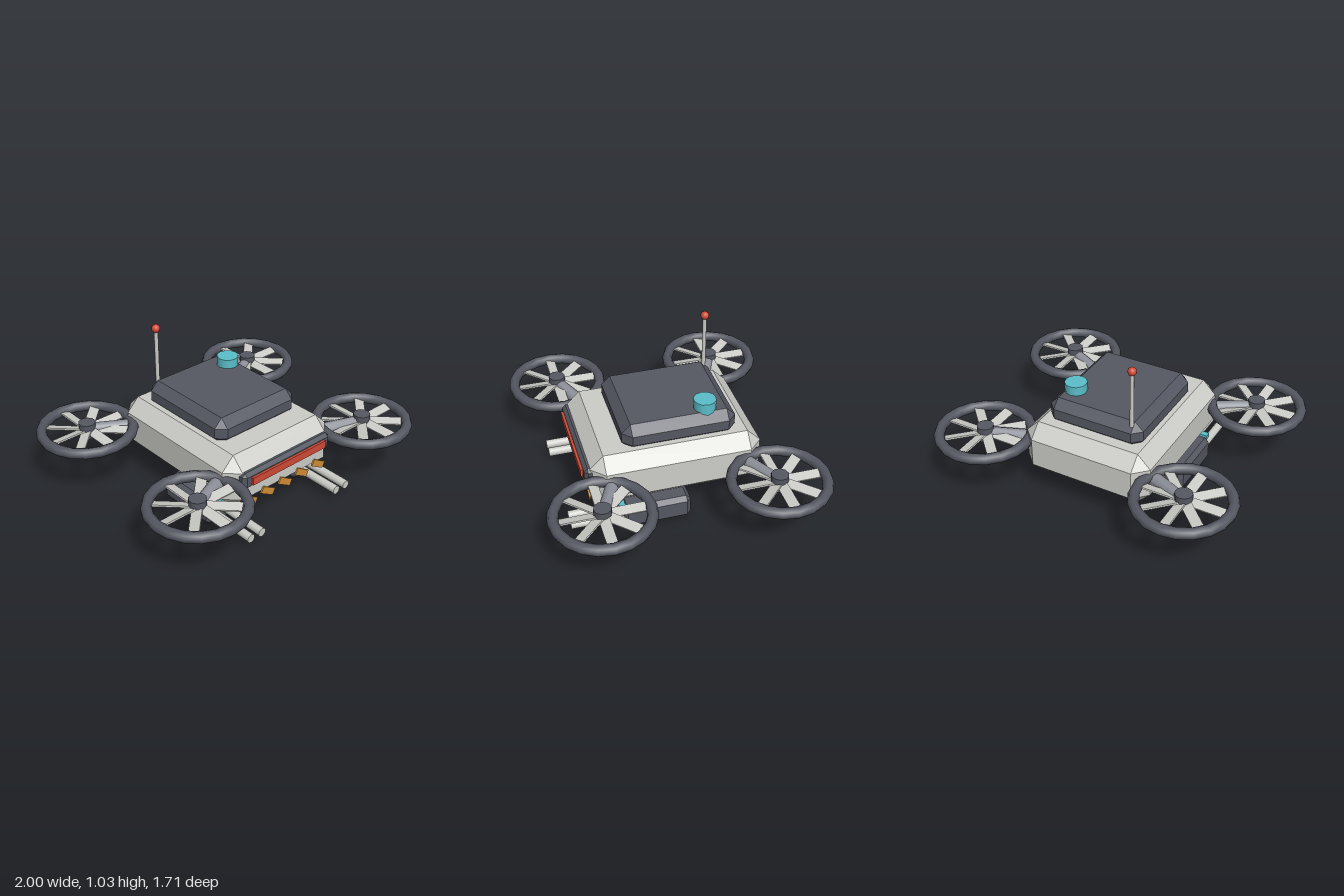
import * as THREE from 'three';
import { ConvexGeometry } from 'three/addons/geometries/ConvexGeometry.js';

const paint = (name, color, flat = false) => {
  const m = new THREE.MeshStandardMaterial({ color, flatShading: flat });
  m.name = name;
  return m;
};

// Box with every edge cut at 45 degrees
function chamferBox(w, h, d, c) {
  const pts = [];
  for (const x of [-w / 2, w / 2]) for (const y of [-h / 2, h / 2]) for (const z of [-d / 2, d / 2]) {
    const sx = Math.sign(x) * c, sy = Math.sign(y) * c, sz = Math.sign(z) * c;
    pts.push(new THREE.Vector3(x, y - sy, z - sz),
      new THREE.Vector3(x - sx, y, z - sz),
      new THREE.Vector3(x - sx, y - sy, z));
  }
  return new ConvexGeometry(pts);
}

export function createModel() {
  const model = new THREE.Group();
  model.name = 'drone';
  const hull = paint('light grey hull', 0xcdcdc9);
  const dark = paint('dark grey', 0x555862);
  const steel = paint('steel grey', 0x8f929b);
  const cyan = paint('cyan', 0x5bbfca);
  const red = paint('red', 0xd04a36);
  const orange = paint('orange', 0xd08c35);

  const add = (name, geo, mat, x = 0, y = 0, z = 0, parent = model) => {
    const mesh = new THREE.Mesh(geo, mat);
    mesh.name = name;
    mesh.position.set(x, y, z);
    parent.add(mesh);
    return mesh;
  };

  // Hull and top deck
  add('hull', chamferBox(0.85, 0.355, 1.07, 0.085), hull, 0, 0.338, 0);
  add('topDeck', chamferBox(0.635, 0.175, 0.71, 0.055), dark, 0, 0.563, -0.038);

  // Sensor and antenna
  add('sensor', new THREE.CylinderGeometry(0.07, 0.07, 0.08, 12), cyan, 0.21, 0.67, -0.215);
  add('antennaRod', new THREE.CylinderGeometry(0.013, 0.013, 0.4, 8), hull, -0.25, 0.8, -0.355);
  add('antennaTip', new THREE.SphereGeometry(0.027, 12, 8), red, -0.25, 1.0, -0.355);

  // Front visor with light strip
  add('visor', chamferBox(0.71, 0.11, 0.1, 0.022), dark, 0, 0.38, 0.517);
  add('lightStrip', new THREE.BoxGeometry(0.6, 0.05, 0.03), red, 0, 0.382, 0.568);

  // Warning stripes
  for (let i = -2; i <= 2; i++) {
    const stripe = add('warningStripe', new THREE.BoxGeometry(0.11, 0.045, 0.01), orange, i * 0.143, 0.225, 0.541);
    stripe.rotation.z = -0.52;
  }

  // Gun pods
  for (const side of [-1, 1]) {
    const pod = new THREE.Group();
    pod.name = side > 0 ? 'leftGunPod' : 'rightGunPod';
    pod.position.x = side * 0.36;
    model.add(pod);
    add('podBody', chamferBox(0.18, 0.16, 0.43, 0.028), dark, 0, 0.08, 0.145, pod);
    add('podSight', new THREE.BoxGeometry(0.14, 0.032, 0.04), cyan, 0, 0.155, 0.36, pod);
    for (const x of [-0.043, 0.043]) {
      const barrel = add('barrel', new THREE.CylinderGeometry(0.028, 0.028, 0.38, 10), hull, x, 0.082, 0.49, pod);
      barrel.rotation.x = Math.PI / 2;
    }
  }

  // Rotors on arms at the four corners
  const up = new THREE.Vector3(0, 1, 0);
  const ringGeo = new THREE.TorusGeometry(0.286, 0.034, 8, 20).rotateX(Math.PI / 2);
  const hubGeo = new THREE.CylinderGeometry(0.054, 0.054, 0.096, 10);
  const bladeGeo = new THREE.BoxGeometry(0.27, 0.01, 0.064).rotateX(0.25).translate(0.145, 0, 0);
  for (const sx of [-1, 1]) for (const sz of [-1, 1]) {
    const rotor = new THREE.Group();
    rotor.name = (sz > 0 ? 'front' : 'rear') + (sx > 0 ? 'Left' : 'Right') + 'Rotor';
    rotor.position.set(sx * 0.68, 0.377, sz * 0.535);
    model.add(rotor);
    add('ring', ringGeo, dark, 0, 0, 0, rotor);
    add('hub', hubGeo, dark, 0, 0, 0, rotor);
    for (let i = 0; i < 8; i++) {
      add('blade', bladeGeo, hull, 0, 0, 0, rotor).rotation.y = i * Math.PI / 4;
    }
    // Tapered arm, thicker at the hull
    const inward = new THREE.Vector3(-sx * 0.34, -0.035, -sz * 0.16);
    const arm = add('arm', new THREE.CylinderGeometry(0.048, 0.035, inward.length(), 10), steel,
      inward.x / 2, inward.y / 2, inward.z / 2, rotor);
    arm.quaternion.setFromUnitVectors(up, inward.clone().normalize());
  }

  return model;
}
